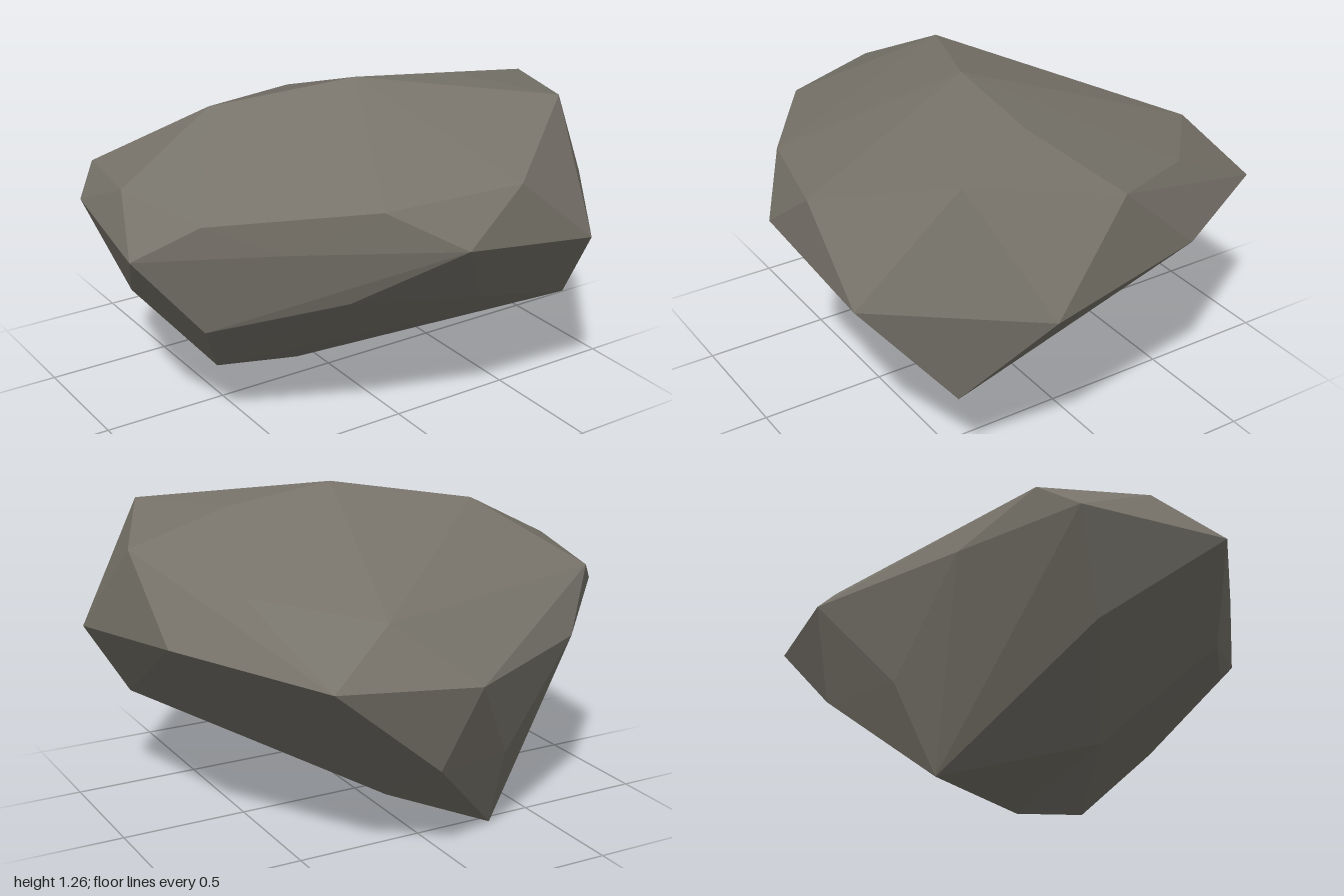
import * as THREE from 'three';
import { ConvexGeometry } from 'three/addons/geometries/ConvexGeometry.js';

export function createModel() {
  const group = new THREE.Group();
  group.name = 'boulder';
  const stone = new THREE.MeshStandardMaterial({ color: 0x77736a, flatShading: true });
  stone.name = 'grey stone';

  // Corners of the faceted stone, grouped by zone
  const crown = [
    [0.04, 1.26, 0.125], [-0.48, 1.18, -0.08], [0.695, 1.185, 0.535], [0.925, 1.115, 0.02],
    [0.48, 1.205, 0.13], [0.67, 1.01, -0.42], [0.28, 0.95, -0.76], [-0.82, 0.935, -0.4],
    [-0.9, 0.97, 0.02], [-0.79, 0.935, 0.41], [-0.26, 0.99, 0.755], [0.24, 1.035, 0.885],
  ];
  const girdle = [
    [1, 0.75, 0.345], [0.91, 0.82, -0.3], [0.555, 0.77, -0.875], [-0.01, 0.72, -0.92],
    [-0.61, 0.73, -0.605], [-0.93, 0.84, -0.28], [-1, 0.8, 0.27], [-0.55, 0.83, 0.57],
    [-0.01, 0.845, 0.92], [0.575, 0.755, 0.895],
  ];
  const underside = [
    [0.735, 0.37, 0.58], [0.26, 0.5, 0.66], [-0.33, 0.62, 0.65], [-0.76, 0.5, 0.36],
    [-0.8, 0.48, -0.15], [-0.26, 0.35, -0.695], [0.1, 0.39, -0.825],
    [0.34, 0.2, 0.22], [-0.52, 0.14, 0], [-0.08, 0, -0.12], [-0.3, 0, -0.54],
  ];

  const points = [...crown, ...girdle, ...underside].map((p) => new THREE.Vector3(...p));
  const rock = new THREE.Mesh(new ConvexGeometry(points), stone);
  rock.name = 'rock';
  group.add(rock);
  return group;
}
